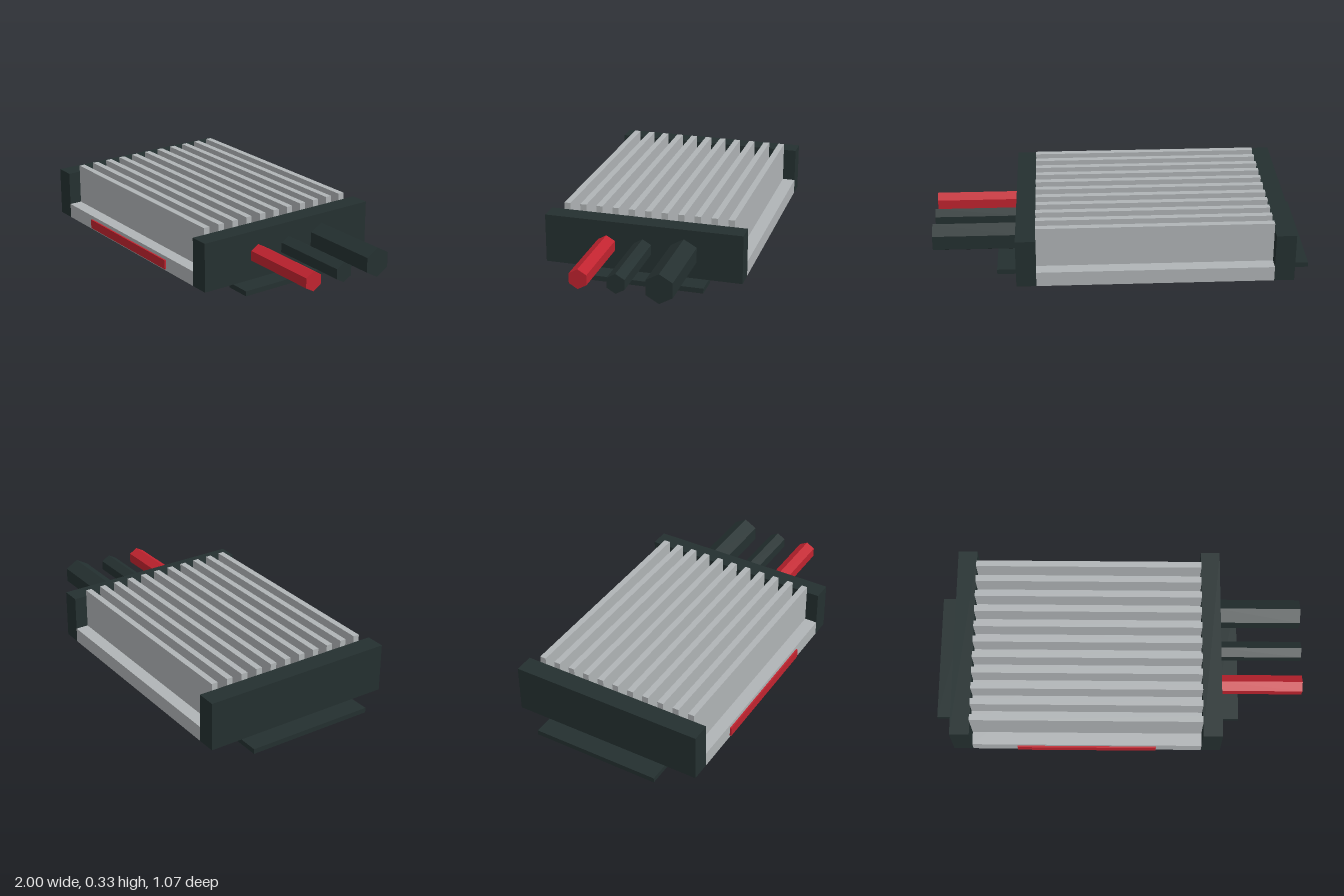
import * as THREE from 'three';

export function createModel() {
  const model = new THREE.Group();
  model.name = 'finnedPowerModule';
  const material = (name, color) => {
    const m = new THREE.MeshStandardMaterial({ color });
    m.name = name;
    return m;
  };
  const aluminium = material('aluminium grey', 0xb0b4b6);
  const black = material('dark housing', 0x243030);
  const red = material('red', 0xc1232f);

  const add = (name, geometry, mat) => {
    const mesh = new THREE.Mesh(geometry, mat);
    mesh.name = name;
    model.add(mesh);
    return mesh;
  };
  // Box given by its extents along each axis
  const box = (name, mat, [x0, x1], [y0, y1], [z0, z1]) =>
    add(name, new THREE.BoxGeometry(x1 - x0, y1 - y0, z1 - z0), mat)
      .position.set((x0 + x1) / 2, (y0 + y1) / 2, (z0 + z1) / 2);

  // Stepped heat sink body
  const bodyX = [-0.79, 0.452];
  const fullZ = [-0.535, 0.525];
  box('baseBlock', aluminium, bodyX, [0.028, 0.108], fullZ);
  box('upperBlock', aluminium, bodyX, [0.108, 0.205], [-0.465, 0.456]);

  // Cooling fins
  const finCount = 11, finWidth = 0.034;
  for (let i = 0; i < finCount; i++) {
    const z = 0.439 - i * 0.0887;
    box('fin' + (i + 1), aluminium, bodyX, [0.205, 0.327], [z - finWidth / 2, z + finWidth / 2]);
  }

  // End caps and mounting feet
  box('rightEndCap', black, [-0.895, -0.79], [0.028, 0.291], fullZ);
  box('leftEndCap', black, [0.452, 0.556], [0.028, 0.291], fullZ);
  const footZ = [-0.357, 0.347];
  box('rightFoot', black, [-1, -0.86], [0, 0.027], footZ);
  box('leftFoot', black, [0.522, 0.662], [0, 0.027], footZ);

  // Front label strip
  box('labelStrip', red, [-0.545, 0.205], [0.038, 0.088], [0.525, 0.534]);

  // Six-sided cables leaving the left end cap
  const cable = (name, mat, z, radius) => {
    const geometry = new THREE.CylinderGeometry(radius, radius, 0.46, 6, 1, false, Math.PI / 6).toNonIndexed();
    geometry.computeVertexNormals();
    geometry.rotateZ(-Math.PI / 2);
    add(name, geometry, mat).position.set(0.77, 0.16, z);
  };
  cable('redCable', red, 0.19, 0.053);
  cable('thinCable', black, -0.005, 0.053);
  cable('thickCable', black, -0.225, 0.079);

  return model;
}
